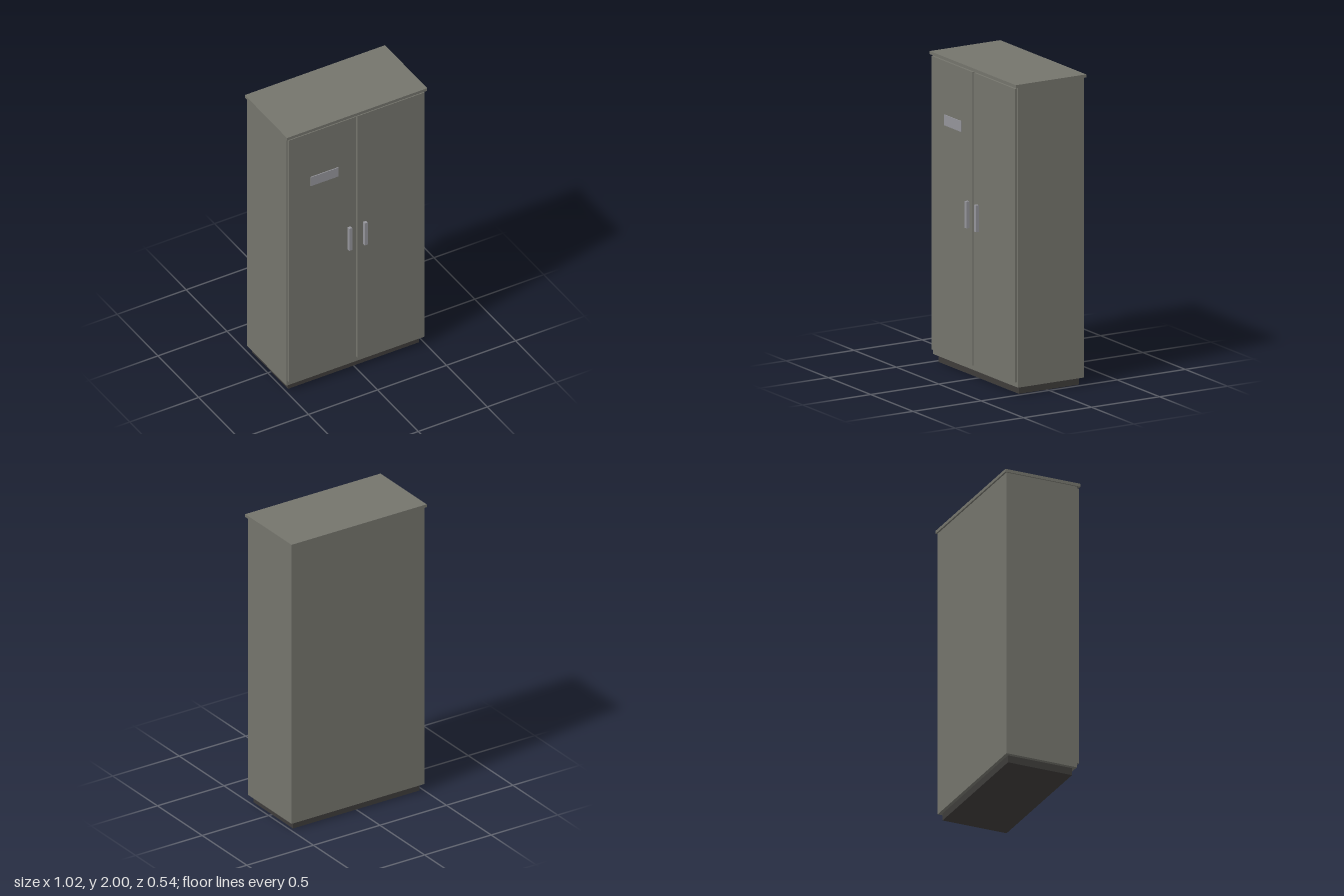
import * as THREE from 'three';

const paint = new THREE.MeshStandardMaterial({ color: 0x74746c });
paint.name = 'grey paint';
const dark = new THREE.MeshStandardMaterial({ color: 0x3e3c3a });
dark.name = 'dark plinth';
const metal = new THREE.MeshStandardMaterial({ color: 0x94949a });
metal.name = 'light metal';

// Box given by its lower and upper limits on each axis
function box(name, material, [x0, x1], [y0, y1], [z0, z1]) {
  const mesh = new THREE.Mesh(new THREE.BoxGeometry(x1 - x0, y1 - y0, z1 - z0), material);
  mesh.name = name;
  mesh.position.set((x0 + x1) / 2, (y0 + y1) / 2, (z0 + z1) / 2);
  return mesh;
}

export function createModel() {
  const cabinet = new THREE.Group();
  cabinet.name = 'cabinet';

  // Recessed base, carcass and overhanging top
  cabinet.add(
    box('plinth', dark, [-0.475, 0.475], [0, 0.048], [-0.235, 0.207]),
    box('body', paint, [-0.5, 0.5], [0.048, 1.98], [-0.257, 0.229]),
    box('topPanel', paint, [-0.508, 0.508], [1.98, 2], [-0.268, 0.25])
  );

  // Double doors with vertical handles beside the central gap
  for (const [side, s] of [['left', 1], ['right', -1]]) {
    const span = (a, b) => (s > 0 ? [a, b] : [-b, -a]);
    cabinet.add(
      box(side + 'Door', paint, span(0.006, 0.491), [0.082, 1.972], [0.229, 0.247]),
      box(side + 'Handle', metal, span(0.045, 0.067), [0.96, 1.132], [0.247, 0.268])
    );
  }

  // Label plate on the right door
  cabinet.add(box('labelPlate', metal, [-0.335, -0.135], [1.56, 1.629], [0.247, 0.253]));

  return cabinet;
}
